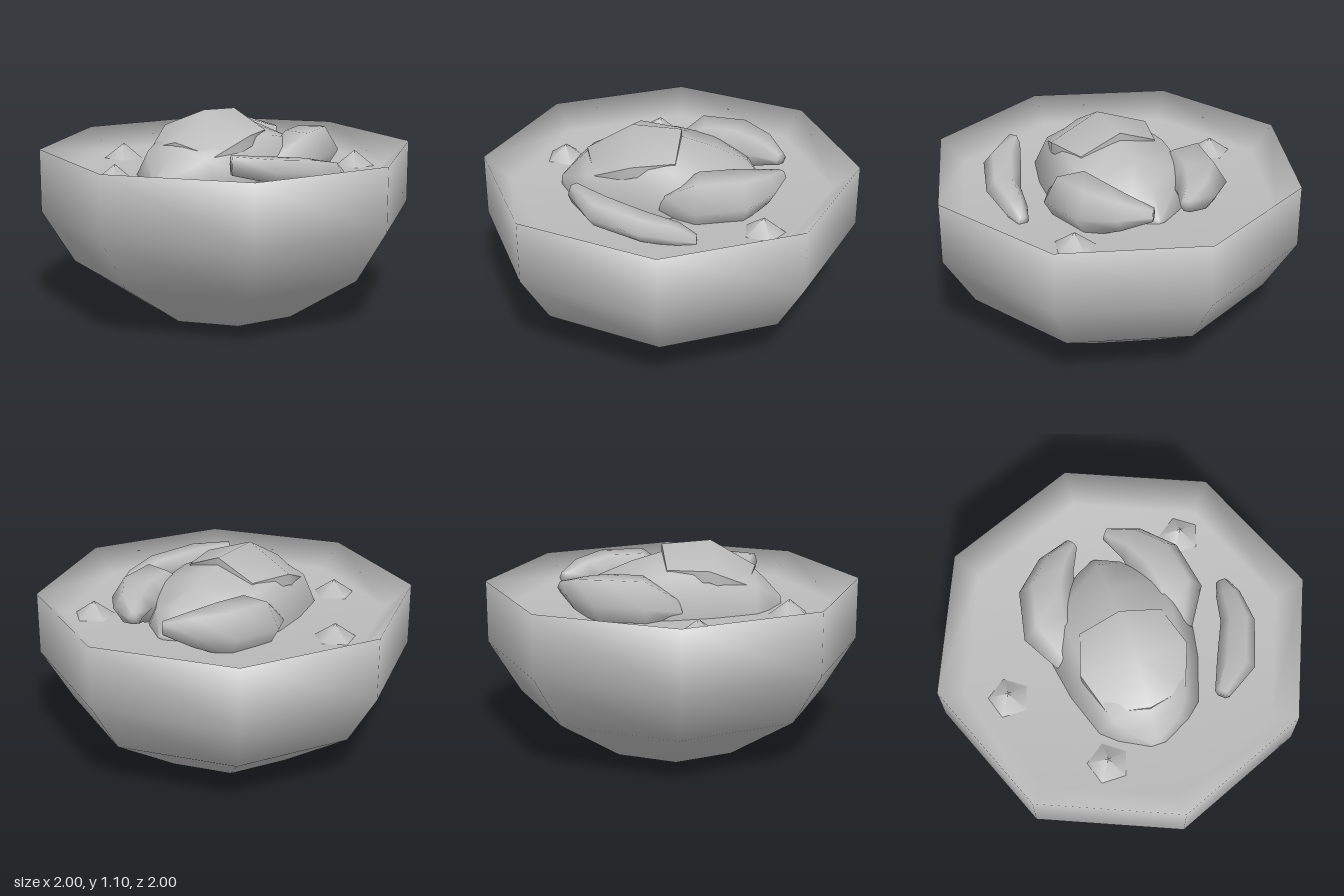
import * as THREE from 'three';

const clay = new THREE.MeshStandardMaterial({ color: 0xbcbcbc, side: THREE.DoubleSide });
clay.name = 'light grey';

function indexed(points, index) {
  const g = new THREE.BufferGeometry();
  g.setAttribute('position', new THREE.Float32BufferAttribute(points, 3));
  g.setIndex(index);
  g.computeVertexNormals();
  return g;
}

// Elliptical rings along a path of [x, y, z, halfWidth, halfHeight]
function loft(path, sides) {
  const pts = [], idx = [], n = path.length;
  path.forEach(([x, y, z, w, h], i) => {
    const p = path[Math.max(i - 1, 0)], q = path[Math.min(i + 1, n - 1)];
    const tx = q[0] - p[0], tz = q[2] - p[2], len = Math.hypot(tx, tz);
    for (let j = 0; j < sides; j++) {
      const t = (j / sides) * Math.PI * 2, c = Math.cos(t) * w;
      pts.push(x - (tz / len) * c, y + Math.sin(t) * h, z + (tx / len) * c);
    }
  });
  const first = n * sides, last = first + 1, end = (n - 1) * sides;
  pts.push(...path[0].slice(0, 3), ...path[n - 1].slice(0, 3));
  for (let j = 0; j < sides; j++) {
    const k = (j + 1) % sides;
    for (let i = 0; i < n - 1; i++) {
      const a = i * sides + j, b = i * sides + k;
      idx.push(a, a + sides, b, b, a + sides, b + sides);
    }
    idx.push(first, j, k, last, end + k, end + j);
  }
  return indexed(pts, idx);
}

// Faceted plate: a peak, eight rim corners and a short skirt
function plate(peak, rim, drop) {
  const n = rim.length, idx = [];
  const low = rim.map(([x, y, z]) => [x, y - drop, z]);
  const pts = [peak, ...rim, ...rim, ...low].flat();
  for (let i = 0; i < n; i++) {
    const j = (i + 1) % n;
    idx.push(0, 1 + i, 1 + j);
    idx.push(1 + n + i, 1 + 2 * n + i, 1 + 2 * n + j, 1 + n + i, 1 + 2 * n + j, 1 + n + j);
  }
  return indexed(pts, idx);
}

export function createModel() {
  const model = new THREE.Group();
  const add = (name, geometry) => {
    const mesh = new THREE.Mesh(geometry, clay);
    mesh.name = name;
    model.add(mesh);
    return mesh;
  };

  // Eight-sided bowl, running over the rim into the liquid surface
  const profile = [[0.42, 0], [0.83, 0.27], [1, 0.55], [1, 0.885], [0.865, 0.76], [0, 0.76]];
  add('bowl', new THREE.LatheGeometry(profile.map(([r, y]) => new THREE.Vector2(r, y)), 8));

  // Underside, open over one quarter
  add('base', new THREE.CircleGeometry(0.42, 6, 0, Math.PI * 1.5).rotateX(Math.PI / 2));

  // Main lump
  add('body', loft([
    [-0.58, 0.76, 0, 0.04, 0.03], [-0.5, 0.76, 0, 0.19, 0.12], [-0.43, 0.76, 0, 0.27, 0.19],
    [-0.2, 0.76, 0, 0.35, 0.3], [0.02, 0.76, 0, 0.39, 0.29], [0.22, 0.76, 0, 0.38, 0.23],
    [0.41, 0.76, 0, 0.17, 0.15], [0.5, 0.76, 0, 0.02, 0.02],
  ], 8));

  // Raised plate on top of the lump
  add('topPlate', plate([-0.2, 1.1, 0], [
    [0.06, 1.08, 0], [0.04, 0.985, -0.22], [-0.18, 0.99, -0.285], [-0.38, 0.9, -0.21],
    [-0.44, 0.96, 0], [-0.38, 0.9, 0.21], [-0.18, 0.99, 0.285], [0.04, 0.985, 0.22],
  ], 0.06));

  // Curved arms, mirrored front to back
  for (const s of [1, -1]) {
    add(s > 0 ? 'frontArm' : 'backArm', loft([
      [0, 0.8, 0.28, 0.1, 0.06], [0.16, 0.84, 0.34, 0.15, 0.15], [0.36, 0.85, 0.3, 0.15, 0.14],
      [0.49, 0.87, 0.21, 0.1, 0.09], [0.585, 0.875, 0.095, 0.035, 0.035],
    ].map(([x, y, z, w, h]) => [x, y, z * s, w, h]), 6));
  }

  // Loose curved piece
  add('loosePiece', loft([
    [-0.465, 0.89, 0.38, 0.04, 0.055], [-0.32, 0.86, 0.51, 0.1, 0.07], [-0.09, 0.83, 0.605, 0.09, 0.07],
    [0.08, 0.8, 0.615, 0.065, 0.06], [0.17, 0.77, 0.615, 0.03, 0.03],
  ], 6));

  // Small five-sided bumps on the surface
  for (const [x, z] of [[-0.1, -0.655], [-0.595, -0.275], [0.5, 0.49]]) {
    const bump = add('bump', new THREE.ConeGeometry(0.11, 0.08, 5, 1, true, Math.PI / 2));
    bump.position.set(x, 0.8, z);
  }

  return model;
}
